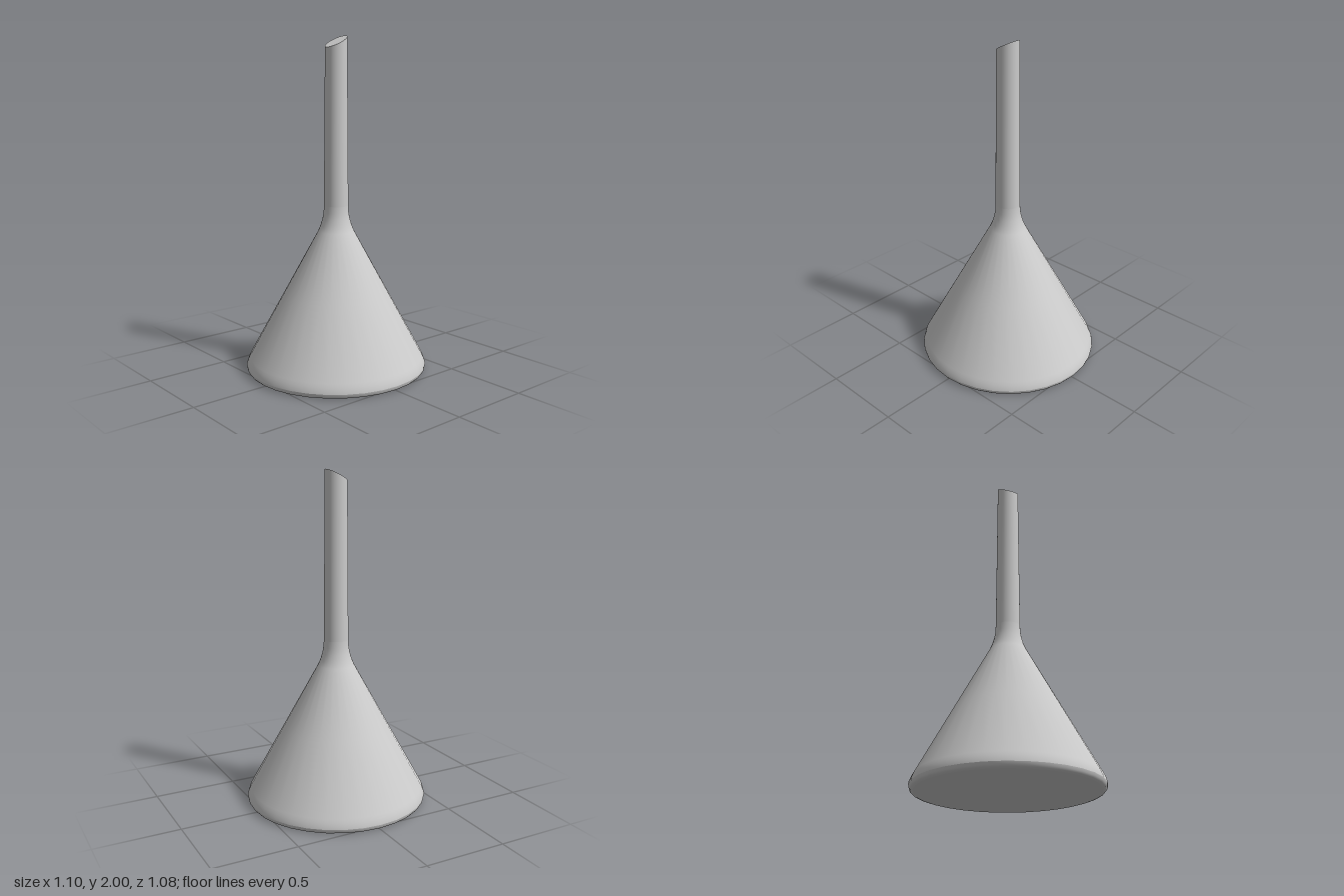
import * as THREE from 'three';

const SIDES = 32;
const TOP = 1.965; // mean height of the slanted tip
const SLANT = 0.53; // rise of the tip per unit of x

export function createModel() {
  const group = new THREE.Group();
  const material = new THREE.MeshStandardMaterial({ color: 0xcccccc, side: THREE.DoubleSide });

  // Revolve a profile running upward along the outside, slightly narrower in z
  function turned(name, profile) {
    const points = profile.map(([r, y]) => new THREE.Vector2(r, y));
    const geometry = new THREE.LatheGeometry(points, SIDES);
    geometry.scale(1, 1, 0.983);
    const mesh = new THREE.Mesh(geometry, material);
    mesh.name = name;
    group.add(mesh);
    return geometry;
  }

  // Shear the tip vertices onto a slanted plane rising toward +x
  function slantTip(geometry) {
    const p = geometry.attributes.position;
    for (let i = 0; i < p.count; i++) {
      if (p.getY(i) > TOP - 0.01) p.setY(i, TOP + p.getX(i) * SLANT);
    }
  }

  // Flat disc closing the mouth
  turned('mouthDisc', [[0, 0], [0.525, 0]]);

  // Rolled rim under the cone
  turned('rim', [[0.525, 0], [0.54, 0.005], [0.548, 0.015], [0.551, 0.03]]);

  // Cone with a rounded lower edge and a flared neck
  turned('cone', [
    [0.551, 0.03], [0.548, 0.045], [0.54, 0.065], [0.53, 0.085], [0.32, 0.465],
    [0.11, 0.845], [0.095, 0.88], [0.083, 0.92], [0.076, 0.96], [0.074, 1],
  ]);

  // Slim tapering stem
  slantTip(turned('stem', [[0.074, 1], [0.071, 1.33], [0.066, TOP]]));

  // Slanted face closing the stem
  const tip = turned('stemTip', [[0.066, TOP], [0, TOP]]);
  slantTip(tip);
  tip.computeVertexNormals();

  return group;
}
